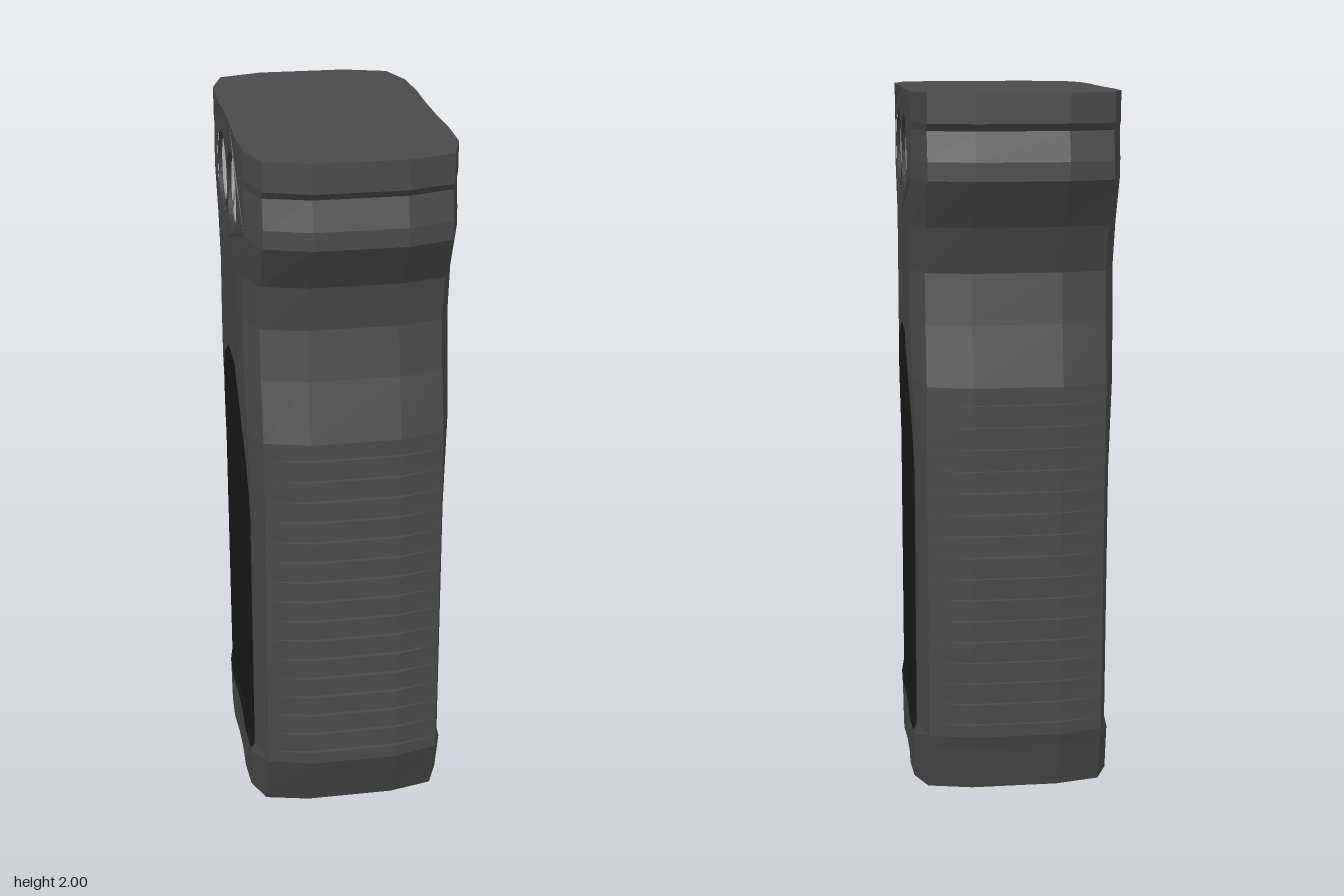
import * as THREE from 'three';

// side profile from bottom to top: [y, front z, back z, side inset]
const PROFILE = [
  [0, 0.375, -0.33, 0], [0.14, 0.435, -0.372, 0], [0.175, 0.45, -0.385, 0.009],
  [0.93, 0.45, -0.402, 0.009], [1.2, 0.45, -0.41, 0.002], [1.37, 0.41, -0.38, 0],
  [1.51, 0.39, -0.365, 0], [1.64, 0.42, -0.415, 0], [1.77, 0.51, -0.505, 0],
  [1.82, 0.51, -0.505, 0], [1.9, 0.49, -0.485, 0], [1.92, 0.508, -0.508, 0], [2, 0.508, -0.508, 0],
];
// half cross-section, front to back: [x, fraction of half depth]
const HALF = [[0.125, 1], [0.25, 0.92], [0.285, 0.69], [0.29, 0.4], [0.286, 0.13]];
const RIGHT = [...HALF, ...HALF.map(([x, u]) => [x, -u]).reverse()];
const SECTION = [...RIGHT, ...RIGHT.map(([x, u]) => [-x, -u])];
const SIDE_U = [0.69, 0.4, 0.13, -0.13, -0.4, -0.69];
const PLATE_Y = 1.64; // the screw plates start here
const SCREW_Y = 1.82, SCREW_Z = 0.113, HOLE_R = 0.11;

const lerp = THREE.MathUtils.lerp;

// centre, half depth and side inset at height y
function profileAt(y) {
  let i = 0;
  while (i < PROFILE.length - 2 && y > PROFILE[i + 1][0]) i++;
  const a = PROFILE[i], b = PROFILE[i + 1], t = (y - a[0]) / (b[0] - a[0]);
  const f = lerp(a[1], b[1], t), k = lerp(a[2], b[2], t);
  return { c: (f + k) / 2, h: (f - k) / 2, inset: lerp(a[3], b[3], t) };
}

// half width of the side wall at fraction u
function wallX(y, u) {
  const v = Math.min(Math.abs(u), 0.69);
  const x = v < 0.13 ? 0.286 : v < 0.4 ? lerp(0.286, 0.29, (v - 0.13) / 0.27)
    : lerp(0.29, 0.285, (v - 0.4) / 0.29);
  return x - profileAt(y).inset;
}

const material = (color) => new THREE.MeshStandardMaterial({ color, flatShading: true });
const bodyMat = material(0x4a4a4a);
const panelMat = material(0x1a1a1a);
const ringMat = material(0x3a3a3a);
ringMat.side = THREE.DoubleSide;
const screwMat = material(0xcccccc);

function indexed(pos, idx) {
  const g = new THREE.BufferGeometry();
  g.setAttribute('position', new THREE.Float32BufferAttribute(pos, 3));
  g.setIndex(idx);
  const flat = g.toNonIndexed();
  flat.computeVertexNormals();
  return flat;
}

function add(parent, name, geometry, mat) {
  const mesh = new THREE.Mesh(geometry, mat);
  mesh.name = name;
  parent.add(mesh);
  return mesh;
}

// lofted grip with horizontal grooves cut in the front and back
function gripGeometry() {
  const levels = PROFILE.filter(([y]) => y < 0.18).map(([y]) => [y, 0]);
  const ribs = 16, y0 = 0.18, pitch = 1 / ribs;
  for (let i = 0; i < ribs; i++) {
    const a = y0 + i * pitch, m = a + pitch / 2;
    levels.push([a, 0], [m, 0], [m, 0.013], [a + pitch, 0.013]);
  }
  levels.push([y0 + 1, 0], ...PROFILE.filter(([y]) => y > 1.19).map(([y]) => [y, 0]));

  const pos = [], idx = [], n = SECTION.length;
  for (const [y, groove] of levels) {
    const { c, h, inset } = profileAt(y);
    for (const [x, u] of SECTION) {
      const onSide = Math.abs(u) < 0.7, onFace = Math.abs(u) === 1;
      pos.push(x - (onSide ? Math.sign(x) * inset : 0), y, c + u * h - (onFace ? u * groove : 0));
    }
  }
  for (let j = 0; j < levels.length - 1; j++) {
    for (let i = 0; i < n; i++) {
      const k = i % 10;
      if (levels[j][0] >= PLATE_Y && k >= 2 && k <= 6) continue; // left open for the plates
      const a = j * n + i, b = j * n + (i + 1) % n;
      idx.push(a, b, b + n, a, b + n, a + n);
    }
  }
  // end caps
  const top = (levels.length - 1) * n, centre = pos.length / 3;
  pos.push(0, 0, profileAt(0).c, 0, 2, 0);
  for (let i = 0; i < n; i++) {
    const k = (i + 1) % n;
    idx.push(centre, k, i, centre + 1, top + i, top + k);
  }
  return indexed(pos, idx);
}

// upper side wall with two screw holes, bent onto the body surface
function plateGeometry(s) {
  const point = (y, u) => {
    const { c, h } = profileAt(y);
    return new THREE.Vector2(-s * (c + u * h), y);
  };
  const ys = PROFILE.map(([y]) => y).filter((y) => y > PLATE_Y && y < 2);
  const shape = new THREE.Shape([
    ...SIDE_U.map((u) => point(PLATE_Y, u)),
    ...ys.map((y) => point(y, -0.69)),
    ...[...SIDE_U].reverse().map((u) => point(2, u)),
    ...[...ys].reverse().map((y) => point(y, 0.69)),
  ]);
  for (const z of [-SCREW_Z, SCREW_Z]) {
    shape.holes.push(new THREE.Path().absarc(z, SCREW_Y, HOLE_R, 0, Math.PI * 2, true));
  }
  const g = new THREE.ShapeGeometry(shape, 14);
  const p = g.attributes.position;
  for (let i = 0; i < p.count; i++) {
    const y = p.getY(i), z = -s * p.getX(i), { c, h } = profileAt(y);
    p.setXYZ(i, s * wallX(y, (z - c) / h), y, z);
  }
  g.computeVertexNormals();
  return g;
}

// arched inlay following the side wall: rows of [y, half width fraction]
function panelGeometry(s) {
  const rows = [[0.145, 0.64], [0.175, 0.68], [0.21, 0.69], [0.93, 0.69], [1.0, 0.67],
    [1.09, 0.61], [1.2, 0.48], [1.26, 0.38], [1.31, 0.18]];
  const pos = [], idx = [], n = SIDE_U.length;
  for (const [y, w] of rows) {
    const { c, h } = profileAt(y);
    for (const side of SIDE_U) {
      const u = THREE.MathUtils.clamp(side, -w, w);
      pos.push(s * (wallX(y, u) + 0.003), y, c + u * h);
    }
  }
  for (let j = 0; j < rows.length - 1; j++) {
    for (let i = 0; i < n - 1; i++) {
      const a = j * n + i, b = a + 1;
      if (s > 0) idx.push(a, b, b + n, a, b + n, a + n);
      else idx.push(a, b + n, b, a, a + n, b + n);
    }
  }
  return indexed(pos, idx);
}

// slotted screw in a tapered recess, facing local +z
function makeScrew(angle) {
  const screw = new THREE.Group();
  screw.name = 'screw';
  const recess = new THREE.LatheGeometry(
    [new THREE.Vector2(0.098, -0.035), new THREE.Vector2(0.1, -0.015), new THREE.Vector2(HOLE_R, 0.001)], 28);
  add(screw, 'screwRecess', recess.rotateX(Math.PI / 2), ringMat);
  const base = new THREE.CylinderGeometry(0.1, 0.1, 0.02, 28).rotateX(Math.PI / 2);
  add(screw, 'screwBase', base, screwMat).position.z = -0.034;
  // two half heads leave the slot between them
  const r = 0.1, a = Math.asin(0.013 / r);
  const half = new THREE.Shape().absarc(0, 0, r, a, Math.PI - a, false);
  half.closePath();
  const headGeo = new THREE.ExtrudeGeometry(half, { depth: 0.014, bevelEnabled: false, curveSegments: 14 });
  for (const turn of [0, Math.PI]) {
    const head = add(screw, 'screwHead', headGeo, screwMat);
    head.position.z = -0.024;
    head.rotation.z = angle + turn;
  }
  return screw;
}

export function createModel() {
  const model = new THREE.Group();
  model.name = 'verticalGrip';
  add(model, 'gripBody', gripGeometry(), bodyMat);
  for (const s of [1, -1]) {
    add(model, 'screwPlate', plateGeometry(s), bodyMat);
    add(model, 'sidePanel', panelGeometry(s), panelMat);
    for (const [z, angle] of [[SCREW_Z, 0.66], [-SCREW_Z, 1.4]]) {
      const screw = makeScrew(angle);
      screw.position.set(s * 0.2875, SCREW_Y, z);
      screw.rotation.y = s * Math.PI / 2;
      model.add(screw);
    }
  }
  return model;
}
